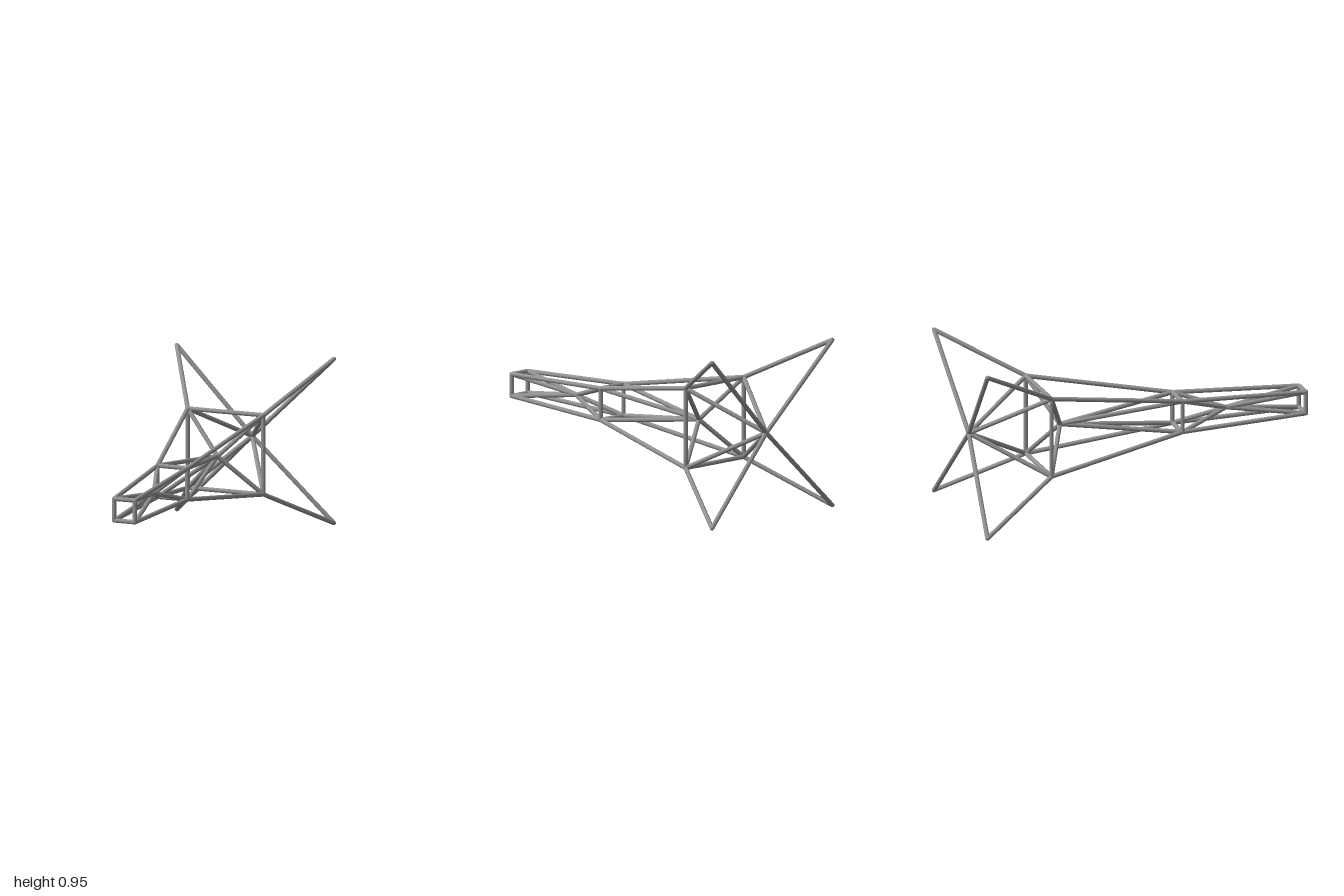
import * as THREE from 'three';

export function createModel() {
  const model = new THREE.Group();
  const steel = new THREE.MeshStandardMaterial({ color: 0x929292 });
  steel.name = 'grey steel';

  const R = 0.0125;   // tube radius
  const CY = 0.475;   // height of the long axis
  const UP = new THREE.Vector3(0, 1, 0);
  const rodGeo = new THREE.CylinderGeometry(R, R, 1, 12);
  const jointGeo = new THREE.SphereGeometry(R, 12, 8);

  // Straight tube between two points
  function rod(name, a, b) {
    const dir = b.clone().sub(a);
    const mesh = new THREE.Mesh(rodGeo, steel);
    mesh.name = name;
    mesh.position.copy(a).add(b).multiplyScalar(0.5);
    mesh.scale.y = dir.length();
    mesh.quaternion.setFromUnitVectors(UP, dir.normalize());
    model.add(mesh);
  }

  // Rounded weld where tubes meet
  function joint(p) {
    const mesh = new THREE.Mesh(jointGeo, steel);
    mesh.name = 'joint';
    mesh.position.copy(p);
    model.add(mesh);
  }

  const square = (h, z) => [[1, 1], [-1, 1], [-1, -1], [1, -1]]
    .map(([x, y]) => new THREE.Vector3(x * h, CY + y * h, z));

  // Square stations from nose to tail tips, and the axis nodes between them
  const stations = [
    square(0.061, 0.988),
    square(0.088, 0.265),
    square(0.223, -0.538),
    square(0.462, -0.988),
  ];
  const nodes = [0.545, -0.415, -0.942].map((z) => new THREE.Vector3(0, CY, z));

  stations.forEach((corners, s) => {
    corners.forEach((p, i) => {
      joint(p);
      // The tail tips stay open; the other stations are closed frames
      if (s < 3) {
        rod('frameBar', p, corners[(i + 1) % 4]);
        rod('longeron', p, stations[s + 1][i]);
        rod('diagonalBrace', p, nodes[s]);
        rod('diagonalBrace', nodes[s], stations[s + 1][i]);
      }
    });
  });
  nodes.forEach(joint);

  return model;
}
